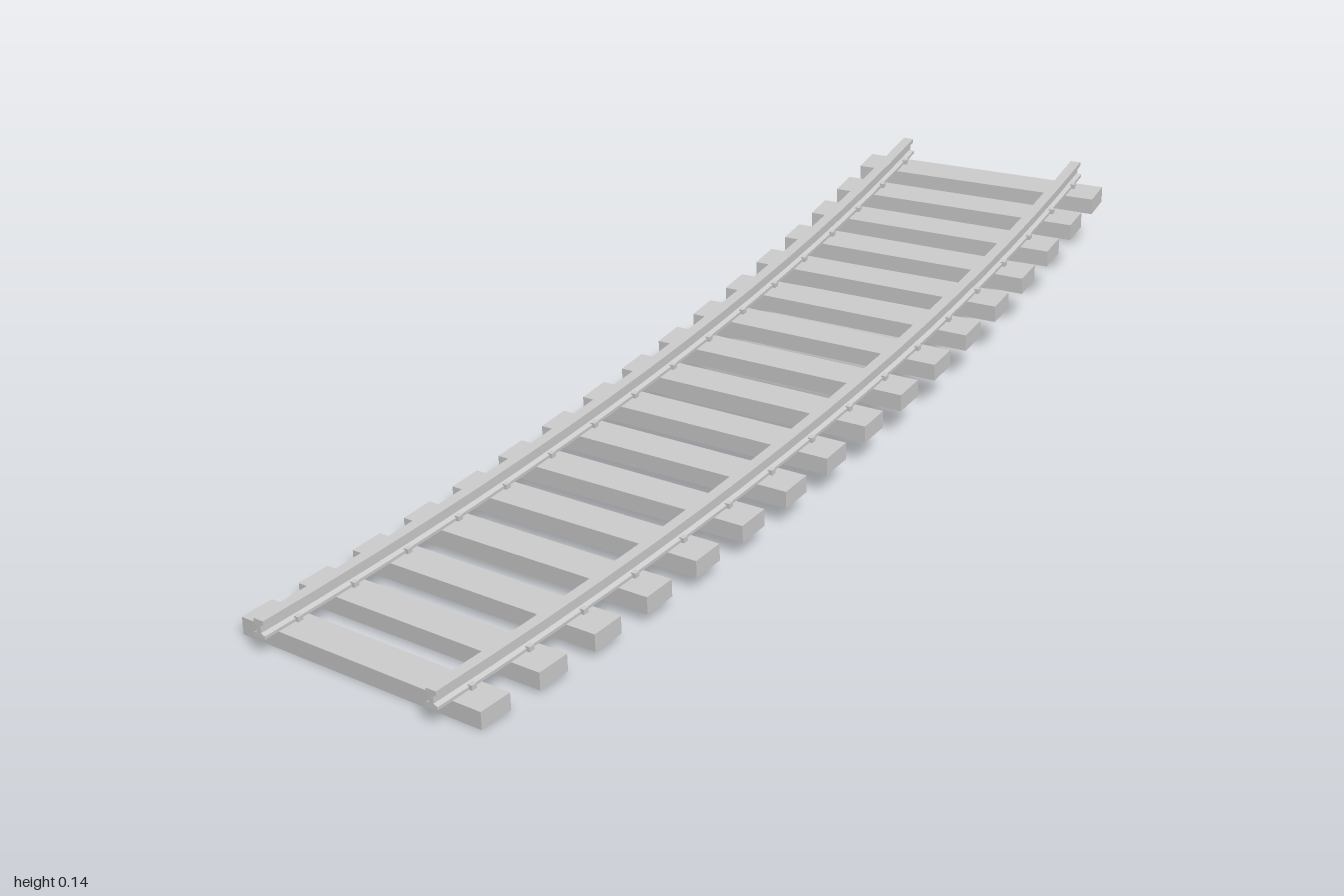
import * as THREE from 'three';

// Centre line: a 15 degree arc that climbs evenly towards the back
const RADIUS = 7.63, CENTRE_X = -7.147, CENTRE_Z = 2.529;
const START = THREE.MathUtils.degToRad(11.88), SWEEP = THREE.MathUtils.degToRad(15);
const LENGTH = RADIUS * SWEEP, SLOPE = 0.0417;
const SLEEPERS = 17, SPACING = LENGTH / SLEEPERS;
const SLEEPER_H = 0.028, HALF_GAUGE = 0.159;

const material = new THREE.MeshStandardMaterial({ color: 0xcccccc, flatShading: true, side: THREE.DoubleSide });

// Point at distance s along the track, offset sideways and upwards
function trackPoint(side, up, s) {
  const a = START + s / RADIUS;
  const r = RADIUS + side;
  return new THREE.Vector3(
    CENTRE_X + r * Math.cos(a),
    up + SLOPE * (s - SPACING / 2) + 0.0013,
    CENTRE_Z - r * Math.sin(a)
  );
}

// Straight part set on the track, turned and pitched to follow it
function place(geometry, name, side, up, s) {
  const mesh = new THREE.Mesh(geometry, material);
  mesh.name = name;
  mesh.position.copy(trackPoint(side, up, s));
  mesh.rotation.set(Math.atan(SLOPE), START + s / RADIUS, 0, 'YXZ');
  return mesh;
}

// I-shaped rail section extruded and bent along the arc
function railGeometry(side) {
  const half = [[0.011, 0], [0.011, 0.005], [0.004, 0.008], [0.004, 0.019], [0.009, 0.021], [0.009, 0.028]];
  const outline = [...half, ...half.map(([x, y]) => [-x, y]).reverse()];
  const shape = new THREE.Shape(outline.map(([x, y]) => new THREE.Vector2(x, y)));
  const geometry = new THREE.ExtrudeGeometry(shape, { depth: 1, steps: SLEEPERS, bevelEnabled: false });
  const pos = geometry.attributes.position;
  for (let i = 0; i < pos.count; i++) {
    const p = trackPoint(side + pos.getX(i), SLEEPER_H + pos.getY(i), LENGTH * (1 - pos.getZ(i)));
    pos.setXYZ(i, p.x, p.y, p.z);
  }
  geometry.computeVertexNormals();
  return geometry;
}

export function createModel() {
  const track = new THREE.Group();
  track.name = 'curvedRailTrack';

  // Rails
  for (const [name, side] of [['rightRail', -HALF_GAUGE], ['leftRail', HALF_GAUGE]]) {
    const rail = new THREE.Mesh(railGeometry(side), material);
    rail.name = name;
    track.add(rail);
  }

  // Sleepers, with a spike on each side of both rails
  const sleeperGeometry = new THREE.BoxGeometry(0.438, SLEEPER_H, 0.06);
  const spikeGeometry = new THREE.BoxGeometry(0.008, 0.009, 0.01);
  for (let i = 0; i < SLEEPERS; i++) {
    const s = (i + 0.5) * SPACING;
    track.add(place(sleeperGeometry, 'sleeper', 0, SLEEPER_H / 2, s));
    for (const rail of [-HALF_GAUGE, HALF_GAUGE]) {
      for (const edge of [-1, 1]) {
        track.add(place(spikeGeometry, 'spike', rail + edge * 0.012, SLEEPER_H + 0.0035, s + edge * 0.008));
      }
    }
  }
  return track;
}
